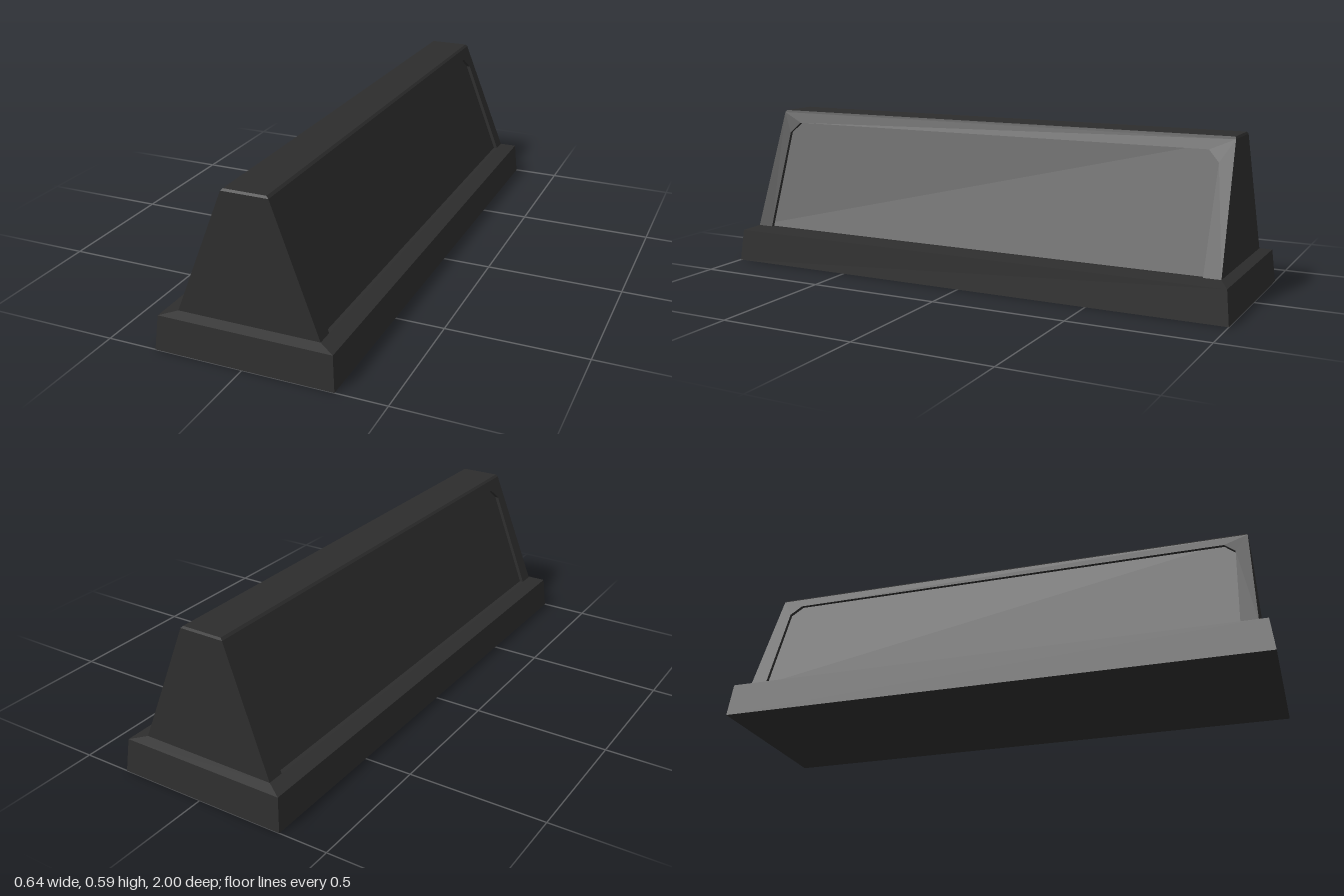
import * as THREE from 'three';

const BASE_TOP = 0.135, TOP = 0.578, RECESS = 0.014;

// Half width and half length of the sloping upper body at height y
const slope = (y) => (y - BASE_TOP) / (TOP - BASE_TOP);
const halfWidth = (y) => THREE.MathUtils.lerp(0.255, 0.083, slope(y));
const halfLength = (y) => THREE.MathUtils.lerp(0.952, 0.937, slope(y));

// Closed solid through rectangular rings [halfX, y, halfZ], from the bottom up
function loft(rings) {
  const pos = [];
  const corners = rings.map(([x, y, z]) => [[x, y, z], [x, y, -z], [-x, y, -z], [-x, y, z]]);
  const quad = (a, b, c, d) => pos.push(...a, ...b, ...c, ...a, ...c, ...d);
  for (let r = 0; r < rings.length - 1; r++) {
    const lo = corners[r], hi = corners[r + 1];
    for (let i = 0; i < 4; i++) {
      const j = (i + 1) % 4;
      quad(lo[i], lo[j], hi[j], hi[i]);
    }
  }
  const [b, t] = [corners[0], corners[corners.length - 1]];
  quad(b[3], b[2], b[1], b[0]);
  quad(t[0], t[1], t[2], t[3]);
  const geo = new THREE.BufferGeometry();
  geo.setAttribute('position', new THREE.Float32BufferAttribute(pos, 3));
  geo.computeVertexNormals();
  return geo;
}

// Raised border around a recessed panel, leaned onto the sloping side
function sideFrame(side) {
  const lo = halfLength(BASE_TOP), hi = halfLength(TOP);
  const shape = new THREE.Shape([
    [-lo, BASE_TOP], [-0.89, BASE_TOP], [-0.89, 0.5], [-0.85, 0.54],
    [0.85, 0.54], [0.89, 0.5], [0.89, BASE_TOP], [lo, BASE_TOP],
    [hi, TOP], [-hi, TOP],
  ].map(([x, y]) => new THREE.Vector2(x, y)));
  const geo = new THREE.ExtrudeGeometry(shape, { depth: RECESS, bevelEnabled: false });
  const p = geo.attributes.position;
  for (let i = 0; i < p.count; i++) {
    const x = p.getX(i), y = p.getY(i), depth = p.getZ(i);
    p.setXYZ(i, side * (halfWidth(y) - RECESS + depth), y, -side * x);
  }
  geo.computeVertexNormals();
  return geo;
}

export function createModel() {
  const group = new THREE.Group();
  const material = new THREE.MeshStandardMaterial({ color: 0x2d2d2d });
  material.name = 'charcoal';
  const add = (name, geo) => {
    const mesh = new THREE.Mesh(geo, material);
    mesh.name = name;
    group.add(mesh);
  };

  // Wide foot with a gently sloping upper ledge
  add('base', loft([
    [0.322, 0, 1], [0.312, 0.122, 0.987], [0.255, BASE_TOP, 0.952],
  ]));

  // Core whose sides form the recessed panels
  add('body', loft([
    [halfWidth(BASE_TOP) - RECESS, BASE_TOP, halfLength(BASE_TOP)],
    [halfWidth(TOP) - RECESS, TOP, halfLength(TOP)],
  ]));

  // Cap with a small bevel
  add('topCap', loft([
    [halfWidth(TOP), TOP, halfLength(TOP)], [0.075, 0.586, 0.933],
  ]));

  add('leftFrame', sideFrame(1));
  add('rightFrame', sideFrame(-1));
  return group;
}
